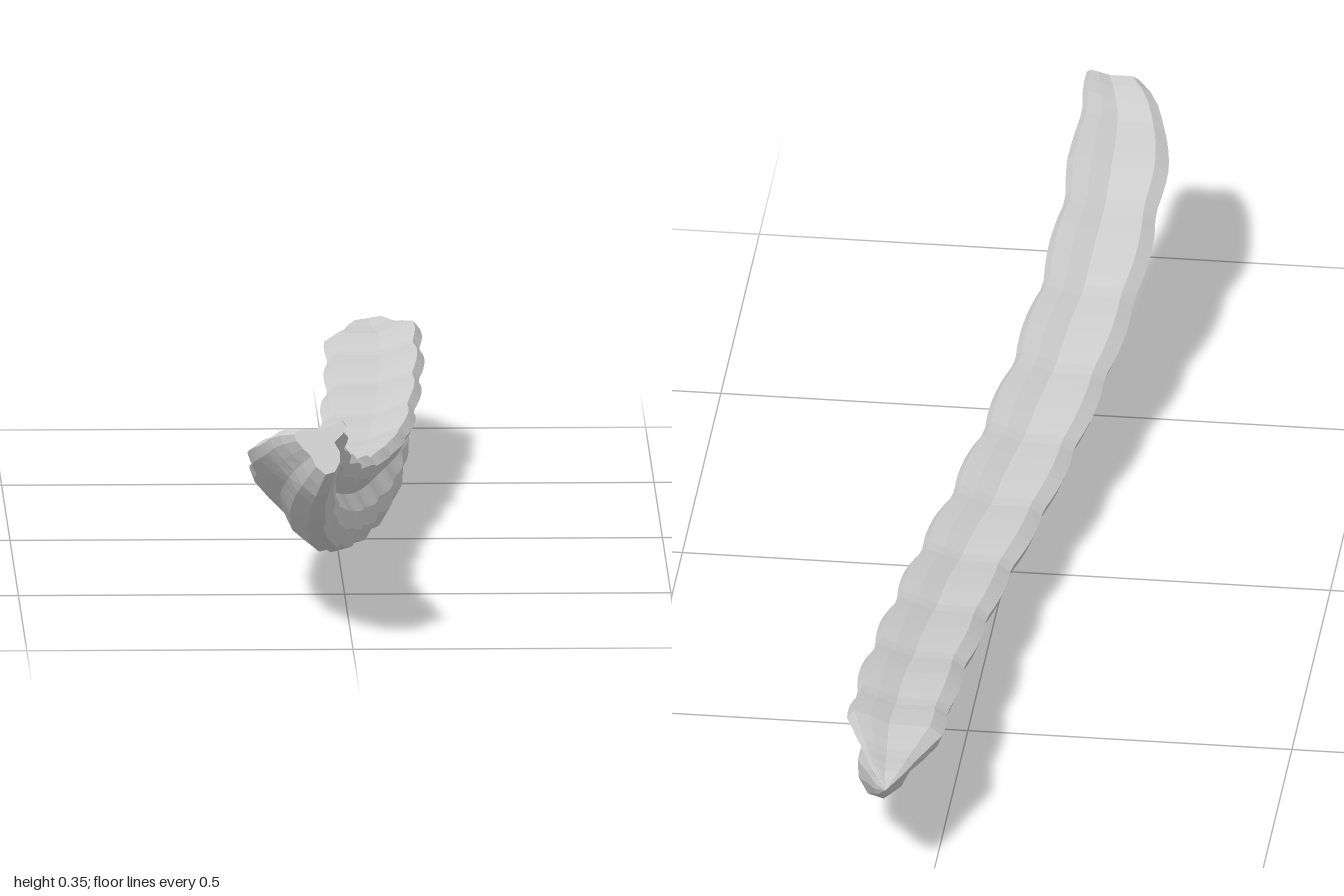
import * as THREE from 'three';

// Rounded triangular cross-section, counter-clockwise seen from the front
const SECTION = [
  [0.066, 0.036], [0.077, 0.056], [0.066, 0.07], // upper lip
  [0.04, 0.062], [0.01, 0.05], [-0.025, 0.05], [-0.055, 0.05], // sloping top
  [-0.075, 0.036], [-0.068, 0.018], // side edge
  [-0.048, -0.004], [-0.027, -0.025], [-0.012, -0.052], // grooved underside
  [0.015, -0.073], [0.042, -0.066], // keel
  [0.057, -0.04], [0.058, -0.012], [0.044, 0.014], // bulging side and its groove
];
const GROOVES = [10, 16];

// Spine stations: z, x, y, scale
const SPINE = [
  [-1, 0.068, 0.172, 0.002], [-0.95, 0.071, 0.162, 0.35], [-0.9, 0.073, 0.15, 0.6], [-0.86, 0.074, 0.142, 0.78],
  [-0.82, 0.075, 0.134, 0.95], [-0.76, 0.075, 0.126, 1],
  [-0.6, 0.072, 0.11, 1], [-0.4, 0.06, 0.09, 1], [-0.2, 0.042, 0.077, 1], [0, 0.012, 0.079, 1],
  [0.2, -0.018, 0.095, 1], [0.4, -0.047, 0.127, 1], [0.6, -0.07, 0.173, 1], [0.8, -0.08, 0.236, 1],
  [0.9, -0.075, 0.272, 0.9], [0.945, -0.064, 0.295, 0.74], [0.978, -0.05, 0.312, 0.52],
];

// Smooth (Hermite) lookup of one spine column
function sample(z, col) {
  let i = 0;
  while (i < SPINE.length - 2 && z > SPINE[i + 1][0]) i++;
  const slope = (k) => {
    const a = SPINE[Math.max(k - 1, 0)], b = SPINE[Math.min(k + 1, SPINE.length - 1)];
    return (b[col] - a[col]) / (b[0] - a[0]);
  };
  const a = SPINE[i], b = SPINE[i + 1], h = b[0] - a[0], t = (z - a[0]) / h;
  if (col === 3) return a[3] + (b[3] - a[3]) * t;
  const t2 = t * t, t3 = t2 * t;
  return (2 * t3 - 3 * t2 + 1) * a[col] + (t3 - 2 * t2 + t) * h * slope(i)
    + (3 * t2 - 2 * t3) * b[col] + (t3 - t2) * h * slope(i + 1);
}

function podGeometry(rings = 88) {
  const n = SECTION.length, pos = [], index = [];
  const z0 = SPINE[0][0], z1 = SPINE[SPINE.length - 1][0];
  for (let r = 0; r <= rings; r++) {
    const z = z0 + (z1 - z0) * r / rings;
    const cx = sample(z, 1), cy = sample(z, 2), s = sample(z, 3);
    const e = 0.01, za = Math.max(z - e, z0), zb = Math.min(z + e, z1);
    const tilt = (sample(zb, 2) - sample(za, 2)) / (zb - za);
    // Seeds swell the wall between regular necks
    const swell = Math.pow(Math.abs(Math.sin(Math.PI * z / 0.18)), 0.8);
    SECTION.forEach(([u, v], k) => {
      const bump = GROOVES.includes(k) ? 0.97 : 0.9 + 0.12 * swell;
      pos.push(cx + u * s * bump, cy + v * s * bump, z - tilt * v * s * bump);
    });
  }
  for (let r = 0; r < rings; r++) for (let k = 0; k < n; k++) {
    const a = r * n + k, b = r * n + (k + 1) % n;
    index.push(a, b, b + n, a, b + n, a + n);
  }
  // Blunt front cap
  const start = rings * n, c = pos.length / 3;
  pos.push(sample(z1, 1), sample(z1, 2), z1);
  for (let k = 0; k < n; k++) index.push(start + k, start + (k + 1) % n, c);

  const g = new THREE.BufferGeometry();
  g.setAttribute('position', new THREE.Float32BufferAttribute(pos, 3));
  g.setIndex(index);
  g.computeVertexNormals();
  return g;
}

export function createModel() {
  const group = new THREE.Group();
  group.name = 'curvedPod';
  const grey = new THREE.MeshStandardMaterial({ color: 0xcccccc, flatShading: true });
  grey.name = 'light grey';
  const pod = new THREE.Mesh(podGeometry(), grey);
  pod.name = 'podBody';
  group.add(pod);
  return group;
}
